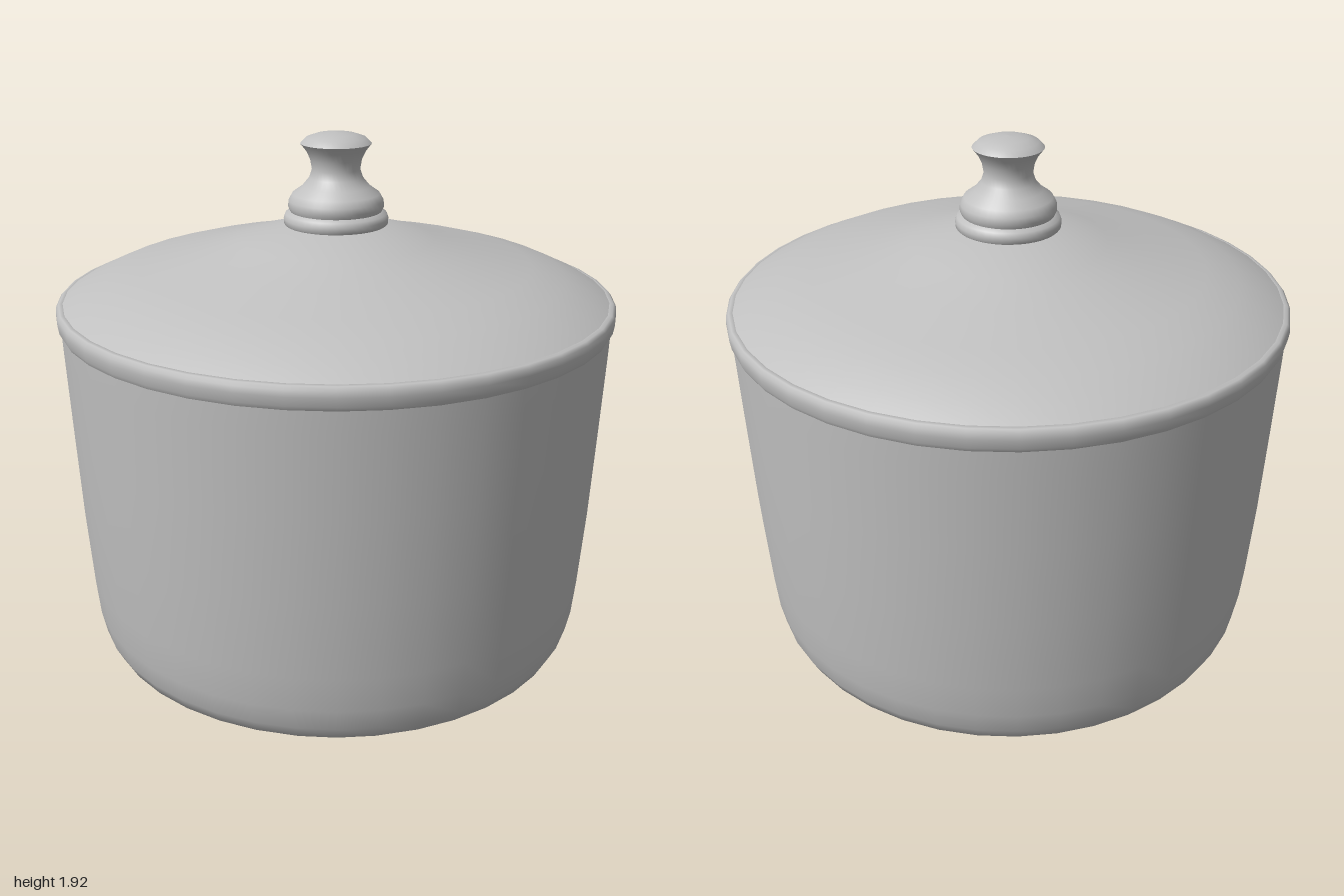
import * as THREE from 'three';

const SIDES = 40;

// Revolve a bottom-to-top list of [radius, height] pairs
function turned(name, profile, material) {
  const points = profile.map(([r, y]) => new THREE.Vector2(r, y));
  const mesh = new THREE.Mesh(new THREE.LatheGeometry(points, SIDES), material);
  mesh.name = name;
  return mesh;
}

export function createModel() {
  const model = new THREE.Group();
  model.name = 'lidded pot';
  const grey = new THREE.MeshStandardMaterial({ color: 0xc0c0c0 });
  grey.name = 'grey';

  // Tapered pot: flat base, rounded foot and nearly straight wall
  model.add(turned('potBody', [
    [0, 0.005], [0.6, 0.01], [0.77, 0.017], [0.84, 0.032], [0.88, 0.062],
    [0.905, 0.11], [0.922, 0.19], [0.935, 0.32], [0.955, 0.6],
    [0.97, 0.9], [0.984, 1.2], [0.987, 1.28],
  ], grey));

  // Thicker rim band, rolled over to the inside
  model.add(turned('potRim', [
    [0.987, 1.275], [0.995, 1.29], [1, 1.32], [0.998, 1.342],
    [0.988, 1.353], [0.97, 1.355], [0.94, 1.33],
  ], grey));

  // Inner wall and floor
  model.add(turned('potInside', [
    [0.94, 1.33], [0.92, 0.7], [0.88, 0.2], [0.82, 0.08], [0, 0.06],
  ], grey));

  // Sloping lid with a gentle outer shoulder
  const lid = new THREE.Group();
  lid.name = 'lid';
  lid.add(turned('lidTop', [
    [0.975, 1.354], [0.92, 1.385], [0.82, 1.43], [0.7, 1.465],
    [0.53, 1.505], [0.35, 1.555], [0.18, 1.605], [0, 1.615],
  ], grey));

  // Turned knob: foot ring, bulb with waist, and domed cap
  lid.add(turned('knobRing', [
    [0.175, 1.6], [0.185, 1.61], [0.186, 1.628], [0.18, 1.645], [0.16, 1.655],
  ], grey));
  lid.add(turned('knobStem', [
    [0.162, 1.652], [0.17, 1.67], [0.168, 1.692], [0.155, 1.715],
    [0.12, 1.74], [0.095, 1.77], [0.085, 1.8], [0.091, 1.835],
    [0.105, 1.865], [0.125, 1.89],
  ], grey));
  lid.add(turned('knobCap', [
    [0.125, 1.89], [0.105, 1.91], [0.07, 1.922], [0.035, 1.928], [0, 1.93],
  ], grey));
  model.add(lid);

  return model;
}
